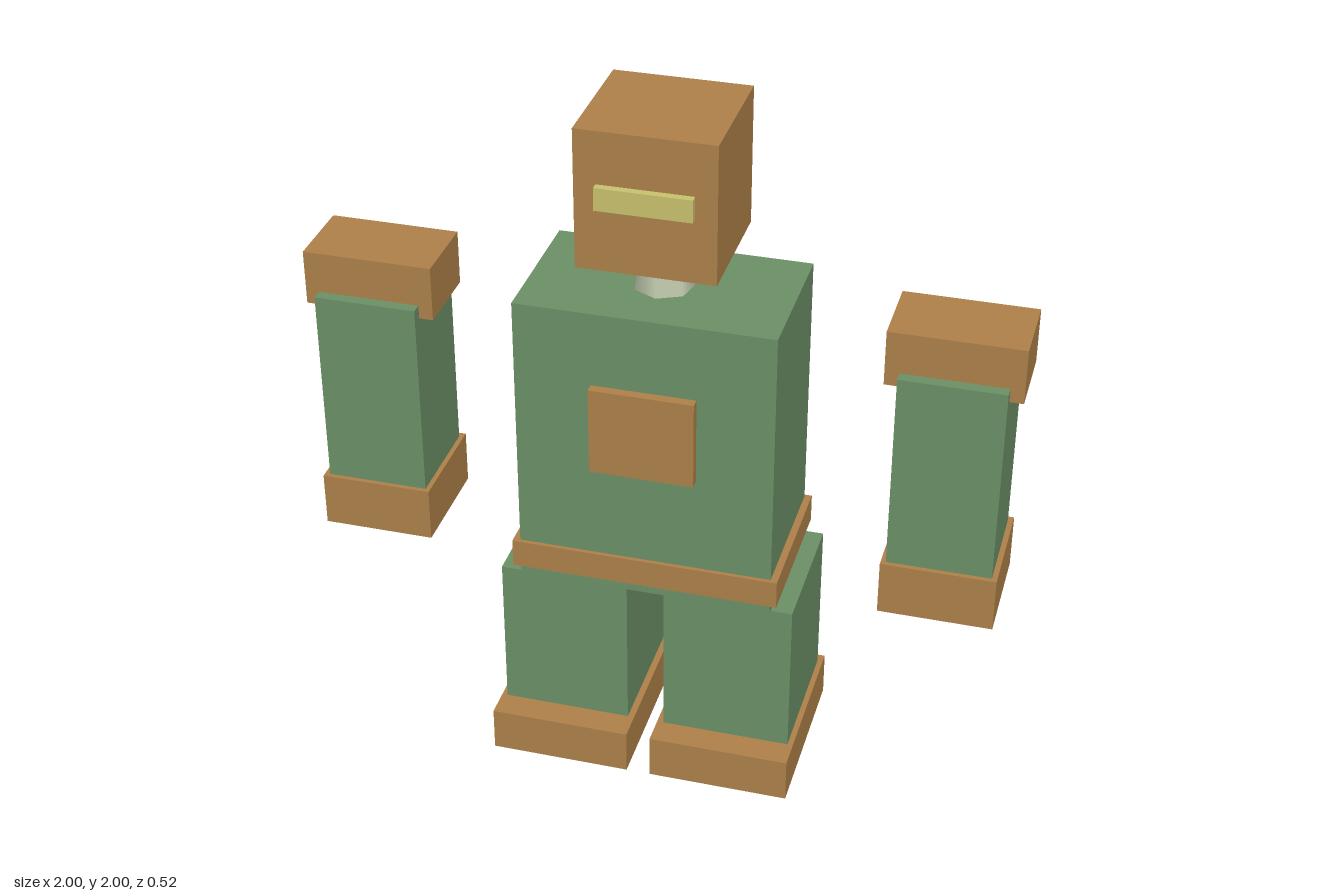
import * as THREE from 'three';

const brown = new THREE.MeshStandardMaterial({ color: 0xb0824a });
brown.name = 'brown';
const green = new THREE.MeshStandardMaterial({ color: 0x6d9268 });
green.name = 'green';
const paleGreen = new THREE.MeshStandardMaterial({ color: 0xc3ccb0 });
paleGreen.name = 'paleGreen';
const yellow = new THREE.MeshStandardMaterial({ color: 0xcbc470 });
yellow.name = 'yellow';

// Box given by its extents along each axis
function block(name, material, [x0, x1], [y0, y1], [z0, z1]) {
  const mesh = new THREE.Mesh(new THREE.BoxGeometry(x1 - x0, y1 - y0, z1 - z0), material);
  mesh.position.set((x0 + x1) / 2, (y0 + y1) / 2, (z0 + z1) / 2);
  mesh.name = name;
  return mesh;
}

// Box centred on the body's middle
const centred = (name, material, halfWidth, y, z) => block(name, material, [-halfWidth, halfWidth], y, z);

// Box on one side: 1 is the left, -1 the right
const sided = (name, material, side, [inner, outer], y, z) =>
  block(name, material, side > 0 ? [inner, outer] : [-outer, -inner], y, z);

export function createModel() {
  const robot = new THREE.Group();
  robot.name = 'robot';

  // Head and visor
  const head = new THREE.Group();
  head.name = 'head';
  head.add(
    centred('skull', brown, 0.192, [1.6, 2], [-0.213, 0.158]),
    centred('visor', yellow, 0.132, [1.785, 1.85], [0.14, 0.18]),
  );

  // Tapered seven-sided neck
  const neck = new THREE.Mesh(new THREE.CylinderGeometry(0.071, 0.086, 0.13, 7), paleGreen);
  neck.position.set(0, 1.54, -0.026);
  neck.name = 'neck';

  // Torso, chest plate and belt
  const body = new THREE.Group();
  body.name = 'body';
  body.add(
    centred('torso', green, 0.363, [0.6, 1.48], [-0.242, 0.184]),
    centred('chestPlate', brown, 0.147, [1, 1.26], [0.17, 0.212]),
    centred('belt', brown, 0.383, [0.63, 0.713], [-0.25, 0.196]),
  );
  robot.add(head, neck, body);

  for (const side of [1, -1]) {
    const label = side > 0 ? 'left' : 'right';

    // Arm floating beside the torso
    const arm = new THREE.Group();
    arm.name = label + 'Arm';
    arm.add(
      sided('shoulder', brown, side, [0.628, 0.998], [1.33, 1.49], [-0.14, 0.083]),
      sided('upperArm', green, side, [0.668, 0.96], [0.66, 1.37], [-0.172, 0.116]),
      sided('hand', brown, side, [0.654, 0.975], [0.627, 0.786], [-0.19, 0.13]),
    );

    // Leg with a long foot
    const leg = new THREE.Group();
    leg.name = label + 'Leg';
    leg.add(
      sided('shin', green, side, [0.054, 0.425], [0.05, 0.6], [-0.23, 0.175]),
      sided('foot', brown, side, [0.035, 0.441], [0, 0.132], [-0.258, 0.258]),
    );
    robot.add(arm, leg);
  }

  return robot;
}
